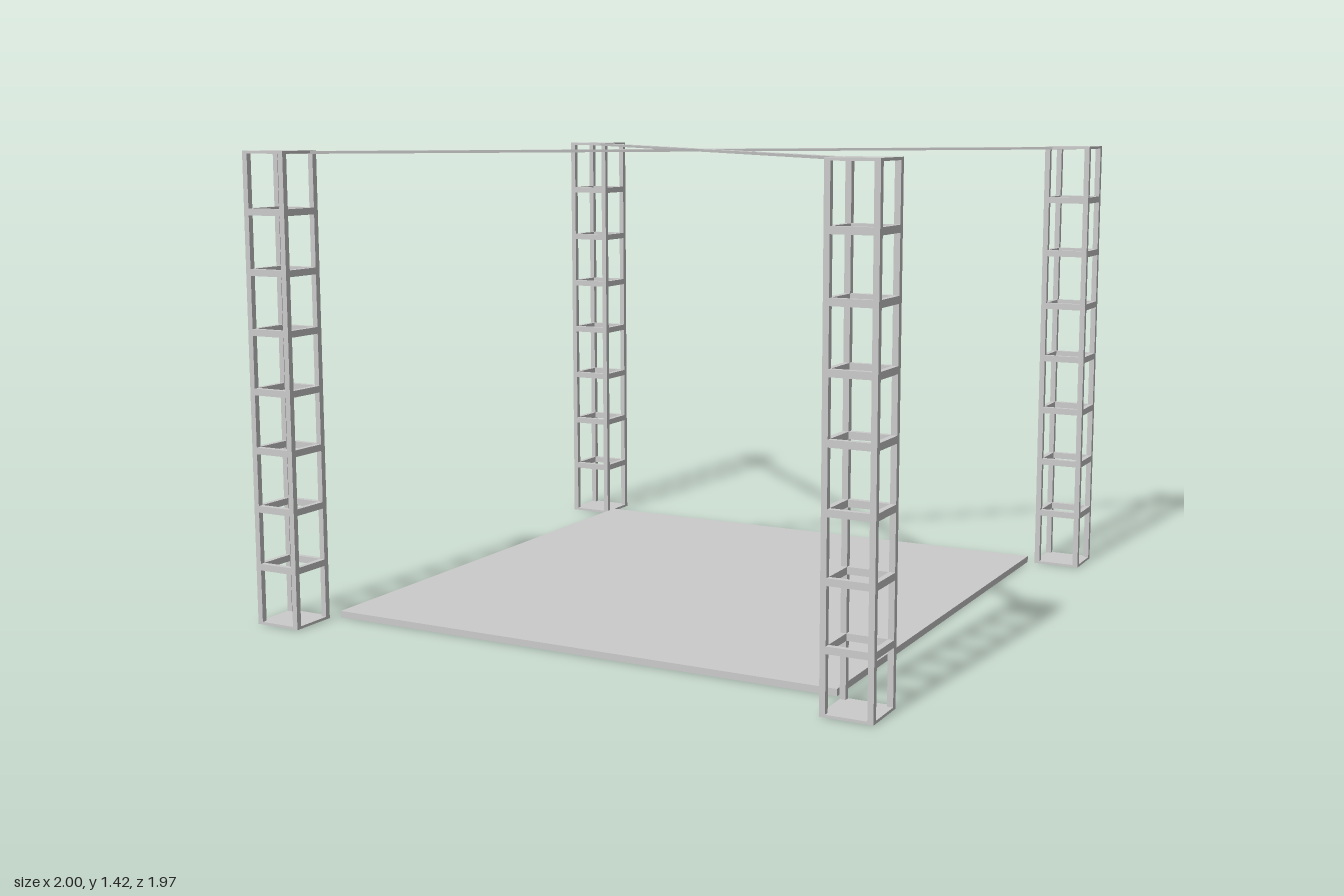
import * as THREE from 'three';

const material = new THREE.MeshStandardMaterial({ color: 0xcccccc, flatShading: true });

function addBox(parent, name, size, position) {
  const mesh = new THREE.Mesh(new THREE.BoxGeometry(...size), material);
  mesh.name = name;
  mesh.position.set(...position);
  parent.add(mesh);
  return mesh;
}

const HEIGHT = 1.42;
const WIDTH = 0.15;
const BAR = 0.017;
const PLATE = 0.008;
const BAYS = 8;

// Square lattice tower: end plates, four corner posts and a ring of rungs per bay
function createTower() {
  const tower = new THREE.Group();
  tower.name = 'tower';
  const edge = (WIDTH - BAR) / 2;
  const inner = WIDTH - 2 * BAR;

  addBox(tower, 'basePlate', [WIDTH, PLATE, WIDTH], [0, PLATE / 2, 0]);
  addBox(tower, 'topPlate', [WIDTH, PLATE, WIDTH], [0, HEIGHT - PLATE / 2, 0]);

  for (const s of [-1, 1]) {
    for (const t of [-1, 1]) {
      addBox(tower, 'post', [BAR, HEIGHT - 2 * PLATE, BAR], [s * edge, HEIGHT / 2, t * edge]);
    }
    for (let i = 1; i < BAYS; i++) {
      const y = (i * HEIGHT) / BAYS;
      addBox(tower, 'rungAcross', [inner, 0.02, BAR], [0, y, s * edge]);
      addBox(tower, 'rungAlong', [BAR, 0.02, inner], [s * edge, y, 0]);
    }
  }
  return tower;
}

export function createModel() {
  const model = new THREE.Group();
  model.name = 'stage';

  // Floor slab
  addBox(model, 'floor', [1.65, 0.02, 1.65], [0, 0.01, -0.013]);

  // Corner towers
  const towerX = 0.925, towerZ = 0.91;
  for (const sx of [-1, 1]) {
    for (const sz of [-1, 1]) {
      const tower = createTower();
      tower.position.set(sx * towerX, 0, sz * towerZ);
      model.add(tower);
    }
  }

  // Flat diagonal beams joining opposite towers just under the top plates
  const span = 2 * Math.hypot(towerX, towerZ);
  for (const s of [-1, 1]) {
    const beam = addBox(model, 'diagonalBeam', [span, 0.008, 0.036], [0, HEIGHT - 0.006, 0]);
    beam.rotation.y = s * Math.atan2(towerZ, towerX);
  }
  return model;
}
